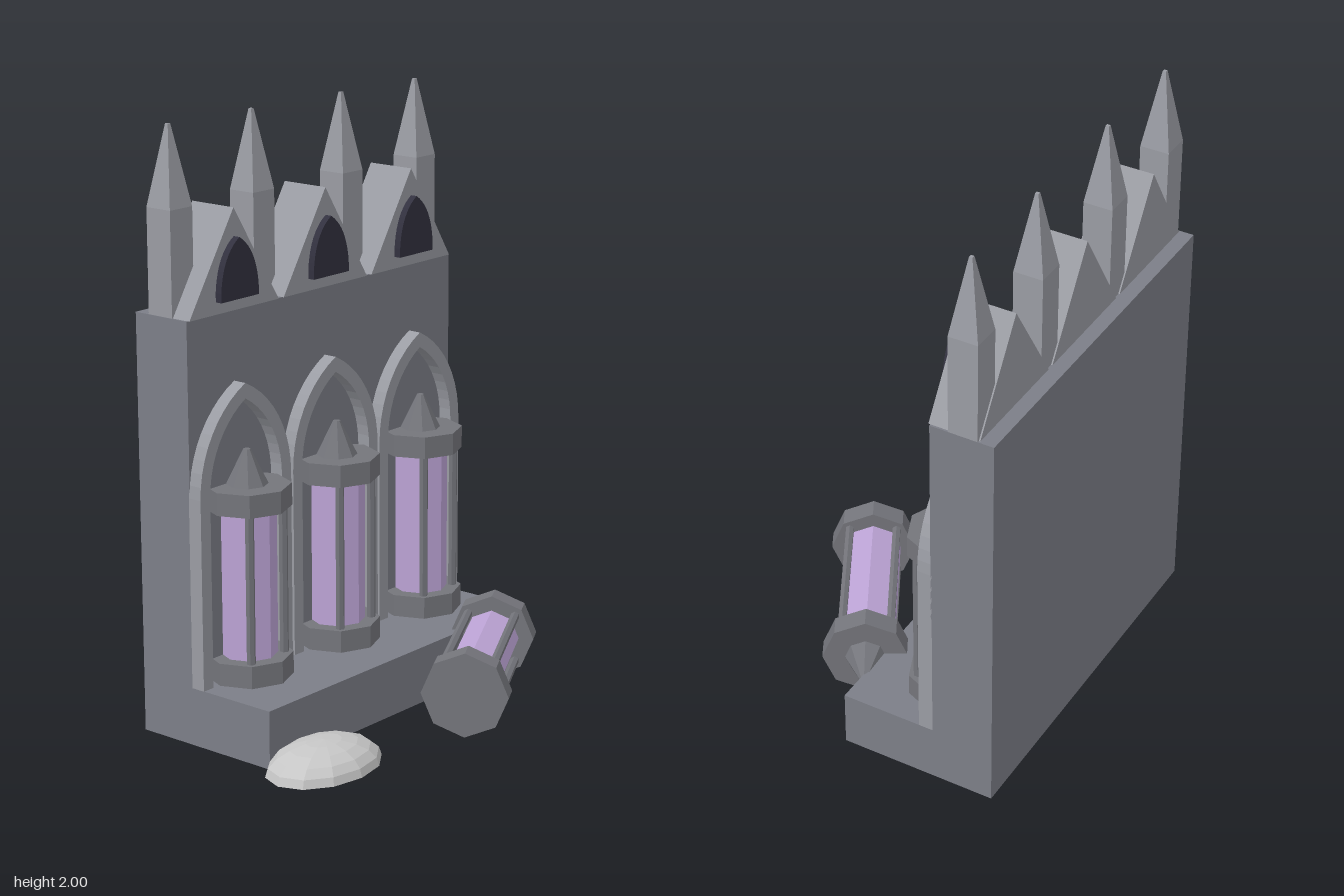
import * as THREE from 'three';

const mat = (name, color, extra = {}) =>
  Object.assign(new THREE.MeshStandardMaterial({ color, ...extra }), { name });

export function createModel() {
  const root = new THREE.Group();
  root.name = 'lanternWall';

  const wallStone = mat('wall stone', 0x7c7e87);
  const trimStone = mat('trim stone', 0x9a9ca3);
  const metal = mat('lantern metal', 0x74757b);
  const glass = mat('lilac glass', 0xbda4d6);
  const dark = mat('dark window', 0x32313f);
  const rock = mat('pale mound', 0xc6c6c6);

  const add = (parent, name, geo, material, x = 0, y = 0, z = 0) => {
    const mesh = new THREE.Mesh(geo, material);
    mesh.name = name;
    mesh.position.set(x, y, z);
    parent.add(mesh);
    return mesh;
  };
  const box = (name, x0, x1, y0, y1, z0, z1, material) =>
    add(root, name, new THREE.BoxGeometry(x1 - x0, y1 - y0, z1 - z0), material,
      (x0 + x1) / 2, (y0 + y1) / 2, (z0 + z1) / 2);
  const extrude = (shape, depth) =>
    new THREE.ExtrudeGeometry(shape, { depth, bevelEnabled: false, curveSegments: 10 });
  // faceted prism or cone
  const prism = (rTop, rBottom, h, sides, turn = 0) => {
    const g = new THREE.CylinderGeometry(rTop, rBottom, h, sides).toNonIndexed();
    g.computeVertexNormals();
    return g.rotateY(turn).translate(0, h / 2, 0);
  };

  // wall and ledge
  box('wall', -0.614, 0.695, 0, 1.4, -0.515, -0.297, wallStone);
  box('ledge', -0.614, 0.695, 0, 0.195, -0.297, 0.028, wallStone);

  // pointed arch frame: two legs and two concentric arcs
  const bottom = 0.195, spring = 0.83, half = 0.215, rim = 0.045, off = 0.161;
  const arcPoints = (r) => {
    const top = Math.acos(off / r), pts = [];
    for (let i = 0; i <= 10; i++) {
      const a = (top * i) / 10;
      pts.push(new THREE.Vector2(r * Math.cos(a) - off, spring + r * Math.sin(a)));
    }
    return pts;
  };
  const mirrored = (pts) => pts.slice(0, -1).reverse().map((p) => new THREE.Vector2(-p.x, p.y));
  const outer = arcPoints(half + off), inner = arcPoints(half + off - rim);
  const archShape = new THREE.Shape([
    new THREE.Vector2(half, bottom), ...outer, ...mirrored(outer), new THREE.Vector2(-half, bottom),
    new THREE.Vector2(rim - half, bottom), ...[...inner, ...mirrored(inner)].reverse(),
    new THREE.Vector2(half - rim, bottom),
  ]);
  const archGeo = extrude(archShape, 0.05);

  // gable prism and its pointed window
  const gableGeo = extrude(new THREE.Shape([
    new THREE.Vector2(-0.208, 1.4), new THREE.Vector2(0.208, 1.4), new THREE.Vector2(0, 1.728),
  ]), 0.175);
  const win = new THREE.Shape();
  win.moveTo(-0.087, 1.44);
  win.lineTo(0.087, 1.44);
  win.lineTo(0.087, 1.47);
  win.quadraticCurveTo(0.078, 1.59, 0, 1.637);
  win.quadraticCurveTo(-0.078, 1.59, -0.087, 1.47);
  const windowGeo = extrude(win, 0.025);

  // octagonal lantern standing on its origin
  const makeLantern = (name) => {
    const g = new THREE.Group();
    g.name = name;
    add(g, 'lanternFoot', prism(0.143, 0.143, 0.075, 8), metal);
    add(g, 'lanternGlass', prism(0.093, 0.093, 0.5, 8), glass, 0, 0.075);
    add(g, 'lanternCap', prism(0.143, 0.143, 0.075, 8), metal, 0, 0.57);
    add(g, 'lanternTip', prism(0.012, 0.068, 0.115, 8), metal, 0, 0.645);
    for (const sx of [-1, 1]) for (const sz of [-1, 1])
      add(g, 'lanternBar', prism(0.015, 0.015, 0.5, 6), metal, sx * 0.08, 0.075, sz * 0.08);
    root.add(g);
    return g;
  };

  for (const x of [-0.4, 0.04, 0.48]) {
    add(root, 'archFrame', archGeo, trimStone, x, 0, -0.3);
    add(root, 'gable', gableGeo, trimStone, x, 0, -0.465);
    add(root, 'gableWindow', windowGeo, dark, x, 0, -0.291);
    makeLantern('standingLantern').position.set(x, 0.195, -0.247);
  }

  // square pinnacles with pyramid tips
  for (const x of [-0.562, -0.18, 0.26, 0.645]) {
    const r = 0.05 * Math.SQRT2;
    add(root, 'pinnacleShaft', prism(r, r, 0.34, 4, Math.PI / 4), trimStone, x, 1.4, -0.41);
    add(root, 'pinnacleTip', prism(0.008, r, 0.26, 4, Math.PI / 4), trimStone, x, 1.74, -0.41);
  }

  // fallen lantern lying in front of the ledge
  const fallen = makeLantern('fallenLantern');
  const dir = new THREE.Vector3(0.877, 0, -0.481).normalize();
  const up = new THREE.Vector3(0, 1, 0);
  fallen.quaternion.setFromRotationMatrix(
    new THREE.Matrix4().makeBasis(dir.clone().cross(up), dir, up));
  fallen.position.set(-0.08, 0.178, 0.387);

  // low mound with a flat underside
  const dome = new THREE.SphereGeometry(1, 12, 5, 0, Math.PI * 2, 0, Math.PI / 2).toNonIndexed();
  dome.scale(0.221, 0.09, 0.157);
  dome.computeVertexNormals();
  add(root, 'mound', dome, rock, -0.48, 0, 0.137);
  const disc = new THREE.CircleGeometry(1, 12).rotateX(Math.PI / 2).scale(0.221, 1, 0.157);
  add(root, 'moundUnderside', disc, rock, -0.48, 0, 0.137);

  return root;
}
